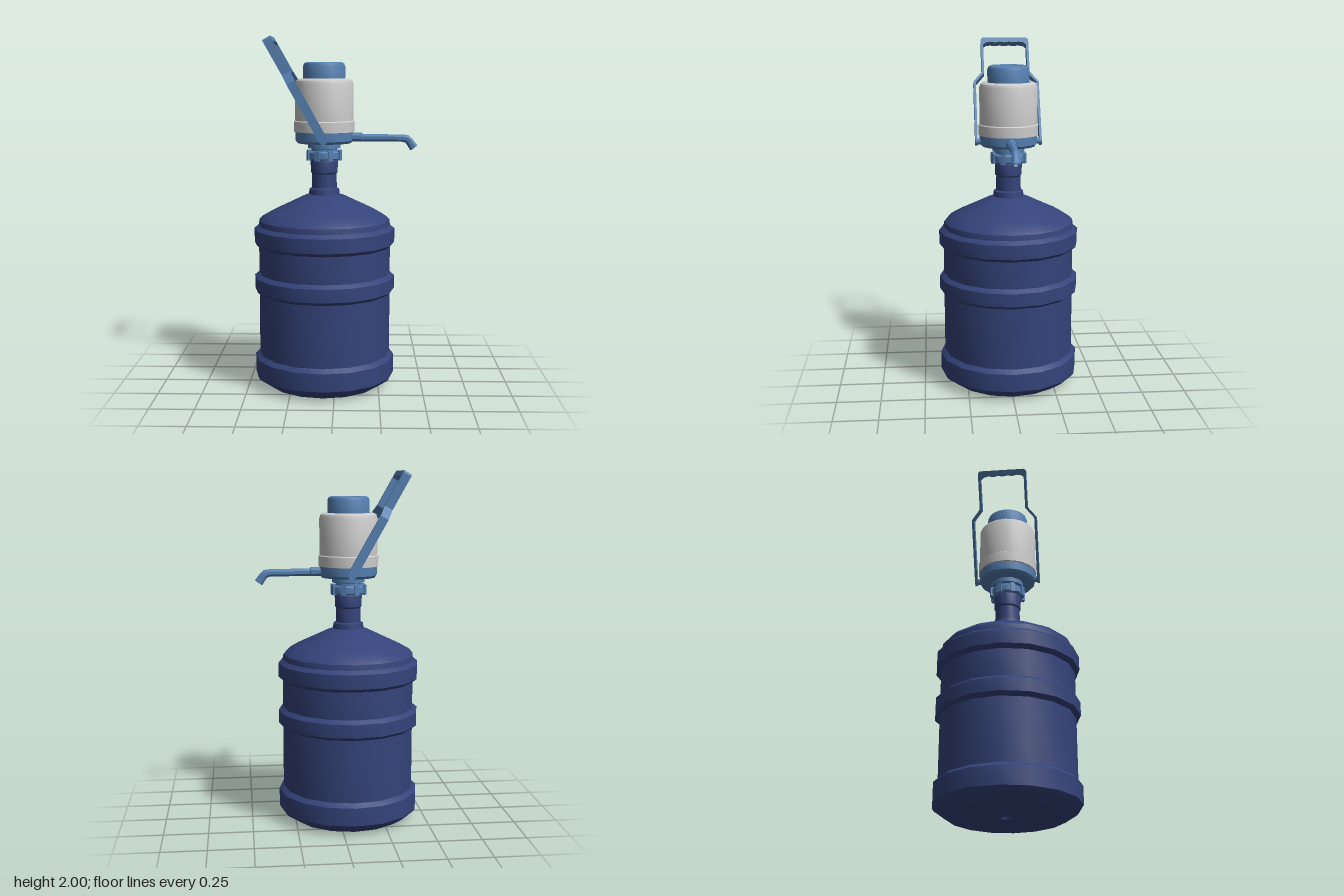
import * as THREE from 'three';
import { toCreasedNormals } from 'three/addons/utils/BufferGeometryUtils.js';

const navy = new THREE.MeshStandardMaterial({ color: 0x34437a });
const blue = new THREE.MeshStandardMaterial({ color: 0x5580b2 });
const grey = new THREE.MeshStandardMaterial({ color: 0xcccccc });
const CREASE = 0.5;

function add(parent, name, geometry, material, x = 0, y = 0, z = 0) {
  const mesh = new THREE.Mesh(geometry, material);
  mesh.name = name;
  mesh.position.set(x, y, z);
  parent.add(mesh);
  return mesh;
}

// Turned part from [radius, height] pairs, listed bottom to top
function turned(parent, name, profile, material, sides = 16) {
  const points = profile.map(([r, y]) => new THREE.Vector2(r, y));
  return add(parent, name, toCreasedNormals(new THREE.LatheGeometry(points, sides), CREASE), material);
}

// Sweep of octagonal rings in the x-y plane: [x, y, tilt of the path, radius]
function sweep(sections, sides = 8) {
  const pos = [], index = [];
  sections.forEach(([x, y, tilt, r], i) => {
    for (let j = 0; j < sides; j++) {
      const a = (j + 0.5) / sides * Math.PI * 2;
      const u = r * Math.cos(a), v = r * Math.sin(a);
      pos.push(x - Math.sin(tilt) * u, y + Math.cos(tilt) * u, v);
      if (i === 0) continue;
      const k = (j + 1) % sides, p = (i - 1) * sides, q = i * sides;
      index.push(p + j, p + k, q + j, p + k, q + k, q + j);
    }
  });
  const g = new THREE.BufferGeometry();
  g.setAttribute('position', new THREE.Float32BufferAttribute(pos, 3));
  g.setIndex(index);
  return toCreasedNormals(g.toNonIndexed(), CREASE);
}

// U-shaped carrying handle: cranked arms and a finger grip, pivot at the origin
function handleGeometry() {
  const L = 0.64, width = 0.05, t = 0.014;
  const arm = [[0.19, 0], [0.19, 0.36], [0.14, 0.42], [0.14, L - 0.012], [0.13, L]];
  const inner = [[0.19 - t, 0], [0.19 - t, 0.355], [0.14 - t, 0.415], [0.14 - t, L - 0.045]];
  const outline = [...arm, ...arm.map(([z, s]) => [-z, s]).reverse()];
  outline.push(...inner.map(([z, s]) => [-z, s]));
  // Scalloped underside of the grip
  for (let i = 0; i <= 24; i++) {
    const z = -0.11 + 0.22 * i / 24;
    outline.push([z, L - 0.026 - 0.005 * Math.abs(Math.cos(i / 24 * Math.PI * 4))]);
  }
  outline.push(...inner.slice().reverse());
  const shape = new THREE.Shape(outline.map(([z, s]) => new THREE.Vector2(z, s)));
  const g = new THREE.ExtrudeGeometry(shape, { depth: width, bevelEnabled: false });
  g.translate(0, 0, -width / 2);
  g.rotateY(Math.PI / 2);
  return g;
}

export function createModel() {
  const model = new THREE.Group();
  model.name = 'waterBottleWithPump';
  const body = new THREE.Group();
  body.name = 'bottleAndPump';
  body.position.x = -0.063;
  model.add(body);

  // Bottle with three raised hoops, shoulder and neck
  const hoops = [[0.545, 0.66], [0.815, 0.935]].flatMap(([a, b]) =>
    [[0.378, a], [0.403, a + 0.02], [0.403, b - 0.02], [0.378, b]]);
  turned(body, 'bottle', [
    [0, 0.02], [0.03, 0.02], [0.036, 0.003], [0.3, 0], [0.325, 0.005],
    [0.392, 0.05], [0.403, 0.065], [0.403, 0.168], [0.378, 0.19],
    ...hoops,
    [0.374, 0.965], [0.355, 0.985], [0.3, 1.017], [0.2, 1.064], [0.12, 1.102], [0.088, 1.113],
    [0.085, 1.143], [0.072, 1.15], [0.07, 1.23], [0.076, 1.238], [0.078, 1.3], [0.07, 1.32], [0, 1.32]
  ], navy);

  // Clamp collar with grip tabs
  turned(body, 'clampCollar', [
    [0.07, 1.312], [0.092, 1.312], [0.097, 1.318], [0.097, 1.352], [0.09, 1.36], [0, 1.36]
  ], blue);
  for (let i = 0; i < 8; i++) {
    const a = (i + 0.5) / 8 * Math.PI * 2;
    const tab = add(body, 'collarTab', new THREE.BoxGeometry(0.028, 0.056, 0.018), blue,
      0.094 * Math.sin(a), 1.335, 0.094 * Math.cos(a));
    tab.rotation.y = a;
  }

  // Pump foot, bowl-shaped base
  turned(body, 'pumpBase', [
    [0, 1.355], [0.074, 1.355], [0.074, 1.372], [0.092, 1.376], [0.092, 1.402],
    [0.152, 1.404], [0.163, 1.418], [0.165, 1.47], [0, 1.47]
  ], blue);

  // Pump housing with a lower band
  turned(body, 'pumpHousing', [
    [0.155, 1.465], [0.171, 1.468], [0.171, 1.526], [0.165, 1.531], [0.165, 1.738],
    [0.158, 1.757], [0.142, 1.766], [0.125, 1.766], [0.122, 1.755], [0, 1.755]
  ], grey, 20);

  // Push button with a shallow ring on top
  turned(body, 'pushButton', [
    [0.119, 1.75], [0.119, 1.835], [0.113, 1.851], [0.1, 1.858],
    [0.077, 1.858], [0.075, 1.855], [0, 1.855]
  ], blue, 20);

  // Tilted handle
  const handle = new THREE.Group();
  handle.name = 'carryHandle';
  handle.position.set(0, 1.43, 0);
  handle.rotation.z = 0.513;
  body.add(handle);
  add(handle, 'handleFrame', handleGeometry(), blue);
  for (const side of [-1, 1]) {
    // Rounded arm ends and pivot pins
    add(handle, 'armEnd', new THREE.CylinderGeometry(0.025, 0.025, 0.014, 12).rotateX(Math.PI / 2),
      blue, 0, 0, side * 0.183);
    add(handle, 'pivotPin', new THREE.CylinderGeometry(0.018, 0.018, 0.03, 10).rotateX(Math.PI / 2),
      blue, 0, 0, side * 0.167);
  }

  // Spout socket and hollow, downturned spout
  add(model, 'spoutSocket', sweep([
    [0.08, 1.437, 0, 0.027], [0.15, 1.437, 0, 0.027], [0.156, 1.435, 0, 0.023], [0.156, 1.435, 0, 0]
  ]), blue);
  add(model, 'spout', sweep([
    [0.14, 1.434, 0, 0.022], [0.38, 1.432, 0, 0.022], [0.405, 1.428, -0.4, 0.024],
    [0.42, 1.414, -0.85, 0.024], [0.446, 1.377, -0.95, 0.026],
    [0.446, 1.377, -0.95, 0.019], [0.428, 1.403, -0.95, 0.017], [0.428, 1.403, -0.95, 0]
  ]), blue);

  return model;
}
